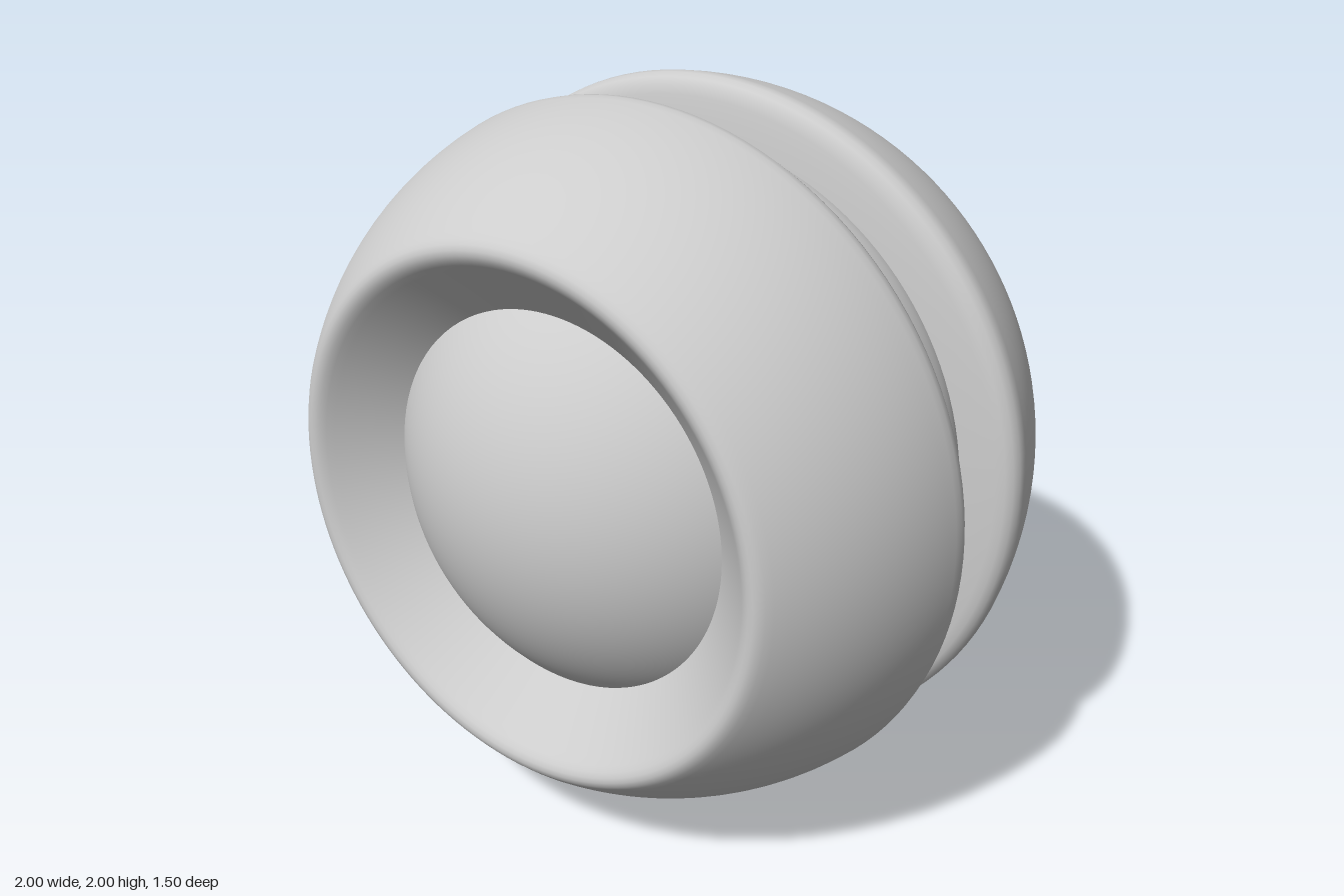
import * as THREE from 'three';

export function createModel() {
  const group = new THREE.Group();
  const grey = new THREE.MeshStandardMaterial({ color: 0xcccccc });
  grey.name = 'light grey';

  // Revolve [radius, depth] points around the front-to-back axis
  const lathe = (points, name, direction) => {
    const profile = points.map(([r, d]) => new THREE.Vector2(r, d));
    const mesh = new THREE.Mesh(new THREE.LatheGeometry(profile, 128), grey);
    mesh.name = name;
    mesh.rotation.x = direction * Math.PI / 2;
    mesh.position.y = 1;
    group.add(mesh);
  };

  // Shell half: groove wall, rounded lip, spherical side, rounded rim, inner cone
  const shell = [
    [0.8, 0.108], [0.85, 0.112], [0.9, 0.118], [0.945, 0.124],
    [0.97, 0.13], [0.988, 0.142], [0.998, 0.16], [1, 0.18], [0.996, 0.2],
  ];
  const R = 1.016;
  for (let i = 1; i <= 16; i++) {
    const d = 0.2 + (0.665 - 0.2) * i / 16;
    shell.push([Math.sqrt(R * R - d * d), d]);
  }
  shell.push(
    [0.754, 0.679], [0.742, 0.689], [0.728, 0.694], [0.714, 0.693],
    [0.7, 0.687], [0.686, 0.676], [0.67, 0.66], [0.6, 0.594], [0.53, 0.528], [0.5, 0.5],
  );
  lathe(shell, 'frontShell', 1);
  lathe(shell, 'backShell', -1);

  // Slightly crowned band at the bottom of the groove
  const band = [];
  for (let i = -6; i <= 6; i++) {
    const d = 0.13 * i / 6;
    band.push([0.857 - 0.01 * (d / 0.12) ** 4, d]);
  }
  lathe(band, 'grooveBand', 1);

  // Inner ball showing through both openings
  const ball = new THREE.Mesh(new THREE.SphereGeometry(0.752, 96, 64), grey);
  ball.name = 'innerBall';
  ball.position.y = 1;
  ball.rotation.x = Math.PI / 2;
  group.add(ball);

  return group;
}
